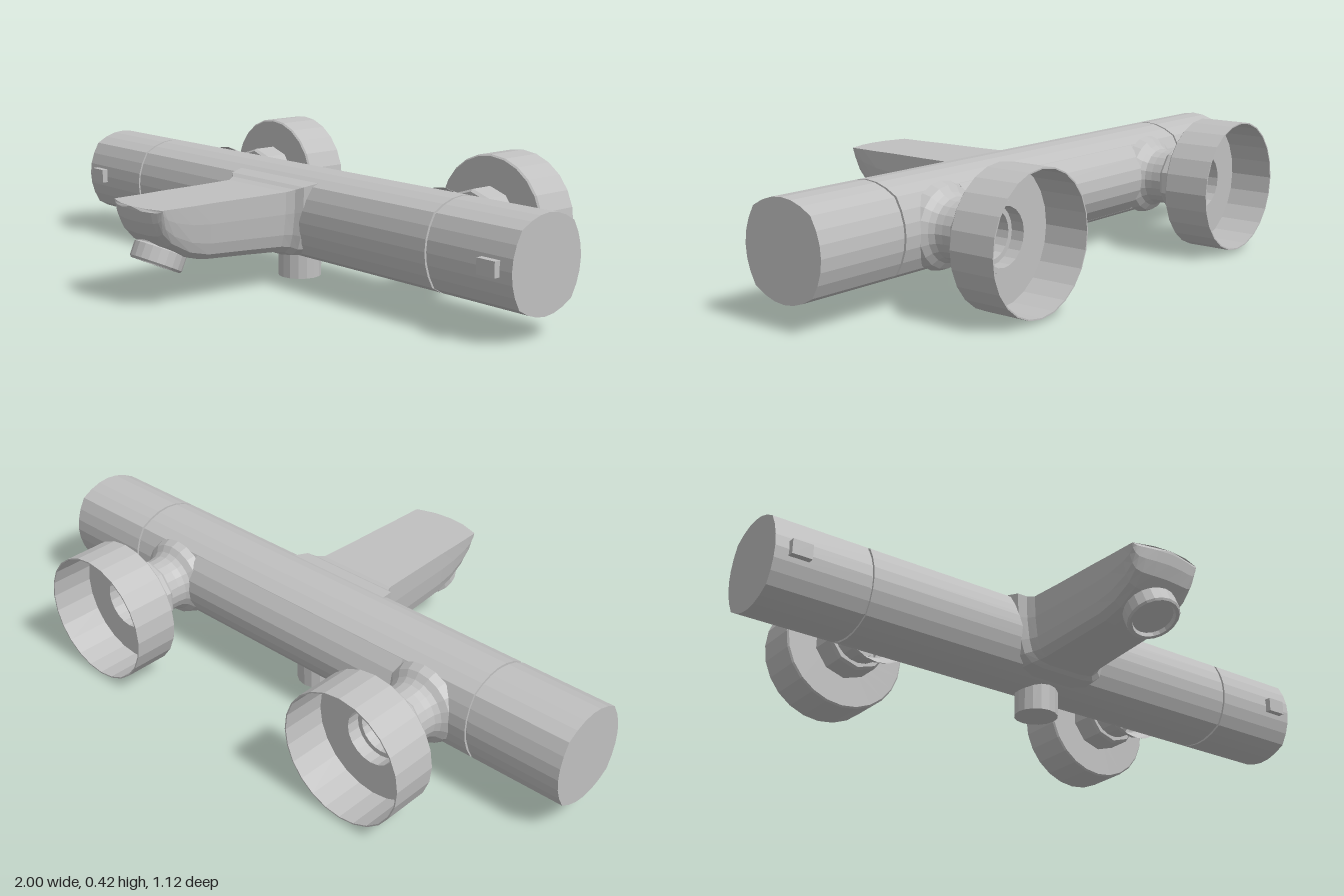
import * as THREE from 'three';

const CY = 0.214, CZ = -0.092; // axis of the long body

export function createModel() {
  const root = new THREE.Group();
  root.name = 'showerMixer';
  const chrome = new THREE.MeshStandardMaterial({ color: 0xc0c0c0, flatShading: true, side: THREE.DoubleSide });
  chrome.name = 'chrome';

  const add = (name, geometry, parent = root) => {
    const mesh = new THREE.Mesh(geometry, chrome);
    mesh.name = name;
    parent.add(mesh);
    return mesh;
  };

  // Soft square section made of four bulging sides, extruded along x
  const bar = (x0, x1, scale = 1, backBulge = 0.143) => {
    const c = 0.108, n = 6, pts = [];
    for (let side = 0; side < 4; side++) {
      const apex = side === 0 ? backBulge : 0.143;
      const a = side * Math.PI / 2;
      for (let i = 0; i < n; i++) {
        const t = -1 + 2 * i / n;
        const u = c + (apex - c) * (1 - t * t), v = c * t;
        pts.push(new THREE.Vector2(u * Math.cos(a) - v * Math.sin(a), u * Math.sin(a) + v * Math.cos(a)).multiplyScalar(scale));
      }
    }
    const g = new THREE.ExtrudeGeometry(new THREE.Shape(pts), { depth: x1 - x0, bevelEnabled: false });
    return g.rotateY(Math.PI / 2).translate(x0, CY, CZ);
  };

  // Turned part whose axis runs backwards; profile is [radius, distance behind z = 0]
  const turned = (profile, sides) =>
    new THREE.LatheGeometry(profile.map(([r, d]) => new THREE.Vector2(r, d)), sides).rotateX(-Math.PI / 2);

  add('body', bar(-0.686, 0.686));
  add('bodyCore', bar(-0.72, 0.72, 0.95));
  add('bodyBackBulge', bar(-0.43, 0.43, 0.998, 0.162));

  // Handles, their buttons and the wall connections on both ends
  for (const s of [-1, 1]) {
    const label = s > 0 ? 'left' : 'right';
    add(label + 'Handle', s > 0 ? bar(0.694, 1) : bar(-1, -0.694));
    add(label + 'Button', new THREE.BoxGeometry(0.064, 0.046, 0.05).translate(s * 0.925, 0.217, 0.045));

    const inlet = new THREE.Group();
    inlet.name = label + 'WallConnection';
    inlet.position.set(s * 0.514, 0.214, 0);
    root.add(inlet);
    add('neck', turned([[0.128, 0.205], [0.118, 0.232], [0.1, 0.246], [0.09, 0.262], [0.087, 0.285], [0.087, 0.33]], 20), inlet);
    add('nut', turned([[0.08, 0.325], [0.101, 0.325], [0.108, 0.335], [0.108, 0.416]], 10), inlet);
    add('wallCover', turned([[0.09, 0.412], [0.2, 0.412], [0.205, 0.417], [0.205, 0.561], [0.201, 0.561], [0.201, 0.42], [0.1, 0.42]], 24), inlet);
    add('socket', turned([[0.1, 0.42], [0.1, 0.432], [0.085, 0.432], [0.085, 0.39], [0.07, 0.39], [0.065, 0.335], [0, 0.335]], 20), inlet);
  }

  // Spout: sections along z, each [z, half width, bottom, top, bow of the nose]
  const stations = [
    [-0.02, 0.19, 0.09, 0.335, 0], [0.045, 0.175, 0.097, 0.324, 0], [0.06, 0.152, 0.106, 0.315, 0],
    [0.085, 0.139, 0.11, 0.309, 0], [0.2, 0.134, 0.118, 0.308, 0], [0.36, 0.129, 0.128, 0.308, 0],
    [0.43, 0.127, 0.146, 0.307, 0.006], [0.5, 0.125, 0.186, 0.307, 0.015],
    [0.535, 0.124, 0.222, 0.307, 0.022], [0.552, 0.123, 0.262, 0.307, 0.025], [0.558, 0.122, 0.296, 0.306, 0.026]
  ];
  const half = [[0.5, 1], [1, 1], [0.98, 0.65], [0.92, 0.32], [0.84, 0.13], [0.68, 0.03], [0.4, 0]];
  const ring = [[0, 1], ...half, [0, 0], ...half.slice().reverse().map(([x, y]) => [-x, y])];
  const pos = [], idx = [], n = ring.length;
  for (const [z, w, b, t, bow] of stations)
    for (const [x, y] of ring) pos.push(x * w, b + y * (t - b), z - bow * x * x);
  for (let k = 0; k < stations.length - 1; k++)
    for (let i = 0; i < n; i++) {
      const a = k * n + i, b = k * n + (i + 1) % n;
      idx.push(a, a + n, b, b, a + n, b + n);
    }
  const last = (stations.length - 1) * n;
  for (let i = 1; i < n - 1; i++) idx.push(last, last + i + 1, last + i);
  const spout = new THREE.BufferGeometry();
  spout.setAttribute('position', new THREE.Float32BufferAttribute(pos, 3));
  spout.setIndex(idx);
  spout.computeVertexNormals();
  add('spout', spout);

  // Tilted aerator with a recessed mouth under the nose
  const mouth = [[0, 0.012], [0.062, 0.012], [0.066, 0], [0.076, 0], [0.081, 0.006], [0.081, 0.05], [0.07, 0.055], [0.07, 0.085]];
  const aerator = add('aerator', new THREE.LatheGeometry(mouth.map(([r, y]) => new THREE.Vector2(r, y)), 20));
  aerator.position.set(0, 0.118, 0.475);
  aerator.rotation.x = -0.43;

  // Hose outlet below the body
  add('hoseOutlet', new THREE.CylinderGeometry(0.069, 0.069, 0.12, 16).translate(0, 0.06, CZ));

  return root;
}
